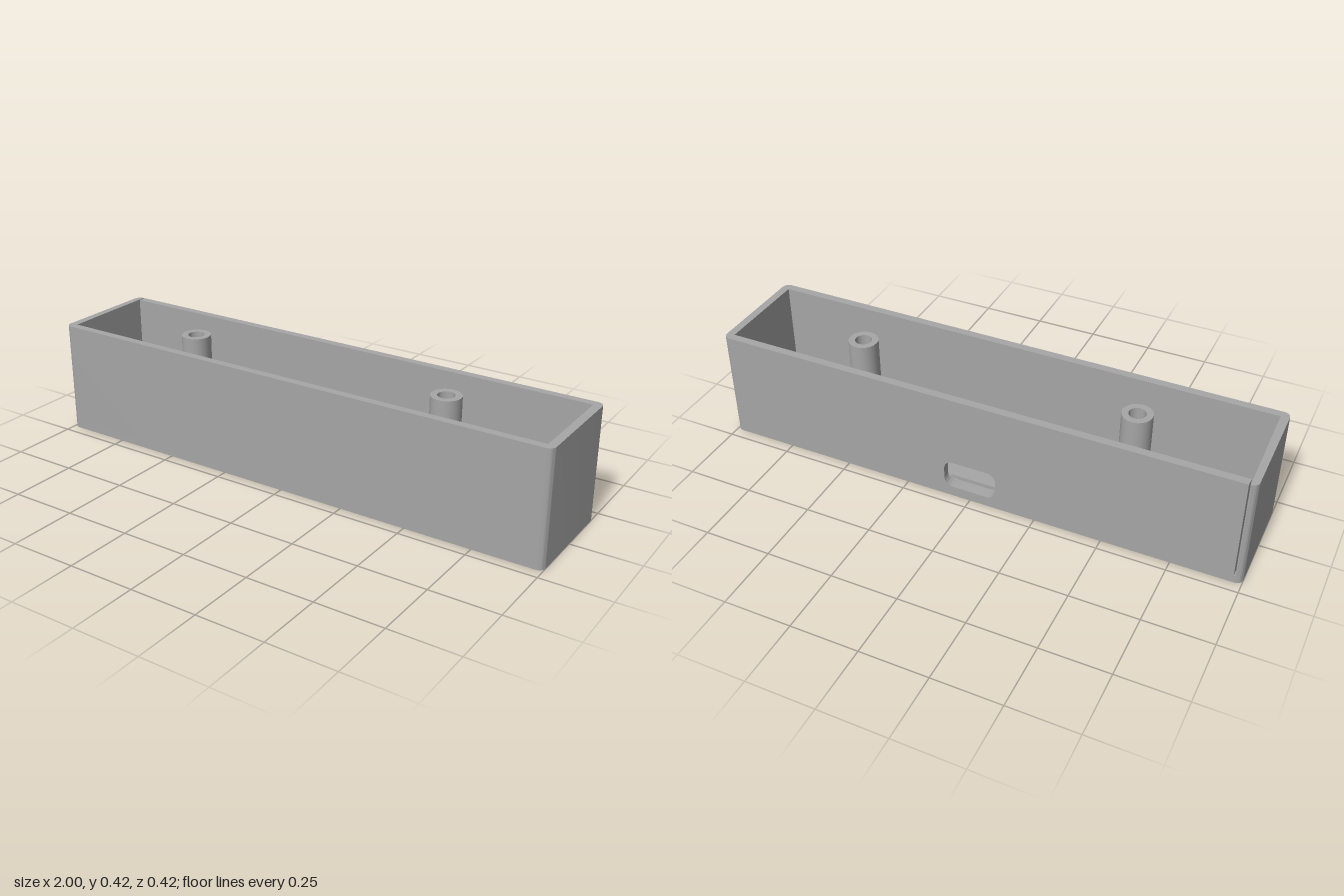
import * as THREE from 'three';
import { toCreasedNormals } from 'three/addons/utils/BufferGeometryUtils.js';

const H = 0.422, HX = 1, HZ = 0.21;   // outer height, half length, half depth
const IX = 0.97, IZ = 0.18, FLOOR = 0.03; // inner half sizes and floor level

export function createModel() {
  const group = new THREE.Group();
  const grey = new THREE.MeshStandardMaterial({ color: 0xa6a6a6 });
  grey.name = 'grey plastic';

  const add = (name, geo, x = 0, y = 0, z = 0) => {
    const mesh = new THREE.Mesh(geo, grey);
    mesh.name = name;
    mesh.position.set(x, y, z);
    group.add(mesh);
    return mesh;
  };
  const extrude = (shape, depth) => toCreasedNormals(
    new THREE.ExtrudeGeometry(shape, { depth, bevelEnabled: false, curveSegments: 10 }), 0.6);
  // plan shape (x, -z) raised from y0 to y1
  const raise = (shape, y0, y1) => extrude(shape, y1 - y0).rotateX(-Math.PI / 2).translate(0, y0, 0);
  const box = (name, x0, x1, y0, y1, z0, z1) =>
    add(name, new THREE.BoxGeometry(x1 - x0, y1 - y0, z1 - z0), (x0 + x1) / 2, (y0 + y1) / 2, (z0 + z1) / 2);
  const circle = (Type, x, y, r) => new Type().absarc(x, y, r, 0, Math.PI * 2, false);

  const roundRect = (Type, x0, x1, y0, y1, r) => {
    const s = new Type();
    s.absarc(x1 - r, y0 + r, r, -Math.PI / 2, 0, false);
    s.absarc(x1 - r, y1 - r, r, 0, Math.PI / 2, false);
    s.absarc(x0 + r, y1 - r, r, Math.PI / 2, Math.PI, false);
    s.absarc(x0 + r, y0 + r, r, Math.PI, Math.PI * 1.5, false);
    s.closePath();
    return s;
  };

  // Base with four round foot recesses
  const R = 0.025;
  const base = roundRect(THREE.Shape, -HX, HX, -HZ, HZ, R);
  for (const x of [-0.875, 0.875])
    for (const z of [-0.107, 0.107]) base.holes.push(circle(THREE.Path, x, z, 0.07));
  add('baseWithFootRecesses', raise(base, 0, 0.015));
  add('floor', raise(roundRect(THREE.Shape, -HX, HX, -HZ, HZ, R), 0.015, FLOOR));

  // Front and end walls with rounded outer corners, open along the back
  const walls = new THREE.Shape();
  walls.moveTo(-IX, HZ);
  walls.absarc(-HX + R, HZ - R, R, Math.PI / 2, Math.PI, false);
  walls.absarc(-HX + R, -HZ + R, R, Math.PI, Math.PI * 1.5, false);
  walls.absarc(HX - R, -HZ + R, R, -Math.PI / 2, 0, false);
  walls.absarc(HX - R, HZ - R, R, 0, Math.PI / 2, false);
  walls.lineTo(IX, HZ);
  walls.lineTo(IX, -IZ);
  walls.lineTo(-IX, -IZ);
  walls.closePath();
  add('frontAndEndWalls', raise(walls, FLOOR, H));

  // Back wall with the rounded port opening
  const back = new THREE.Shape();
  back.moveTo(-IX, FLOOR).lineTo(IX, FLOOR).lineTo(IX, H).lineTo(-IX, H).closePath();
  back.holes.push(roundRect(THREE.Path, -0.1, 0.1, 0.04, 0.15, 0.035));
  add('backWall', extrude(back, HZ - IZ), 0, 0, -HZ);

  // Hollow screw posts braced by low ribs
  for (const x of [-0.53, 0.53]) {
    const ring = circle(THREE.Shape, 0, 0, 0.055);
    ring.holes.push(circle(THREE.Path, 0, 0, 0.031));
    add('screwPost', raise(ring, FLOOR, 0.416), x);
    for (const s of [-1, 1])
      box('postRib', x - 0.016, x + 0.016, FLOOR, 0.1, s < 0 ? -IZ : 0.046, s < 0 ? -0.046 : IZ);
  }

  // Board tray: platform, notch below the port, and thin rim
  const T = 0.055;
  box('trayPlatform', -0.138, 0.138, FLOOR, T, -0.165, 0.163);
  const notch = new THREE.Shape();
  notch.moveTo(-0.138, FLOOR).lineTo(0.138, FLOOR).lineTo(0.138, T);
  notch.lineTo(0.094, T).lineTo(0.082, 0.0445).lineTo(0.065, 0.04);
  notch.lineTo(-0.065, 0.04).lineTo(-0.082, 0.0445).lineTo(-0.094, T).lineTo(-0.138, T);
  notch.closePath();
  add('portNotch', extrude(notch, 0.015), 0, 0, -IZ);
  const rim = new THREE.Shape();
  rim.moveTo(-0.148, IZ).lineTo(-0.148, -0.172).lineTo(0.148, -0.172).lineTo(0.148, IZ);
  rim.lineTo(0.138, IZ).lineTo(0.138, -0.163).lineTo(-0.138, -0.163).lineTo(-0.138, IZ);
  rim.closePath();
  add('trayRim', raise(rim, FLOOR, 0.085));

  return group;
}
